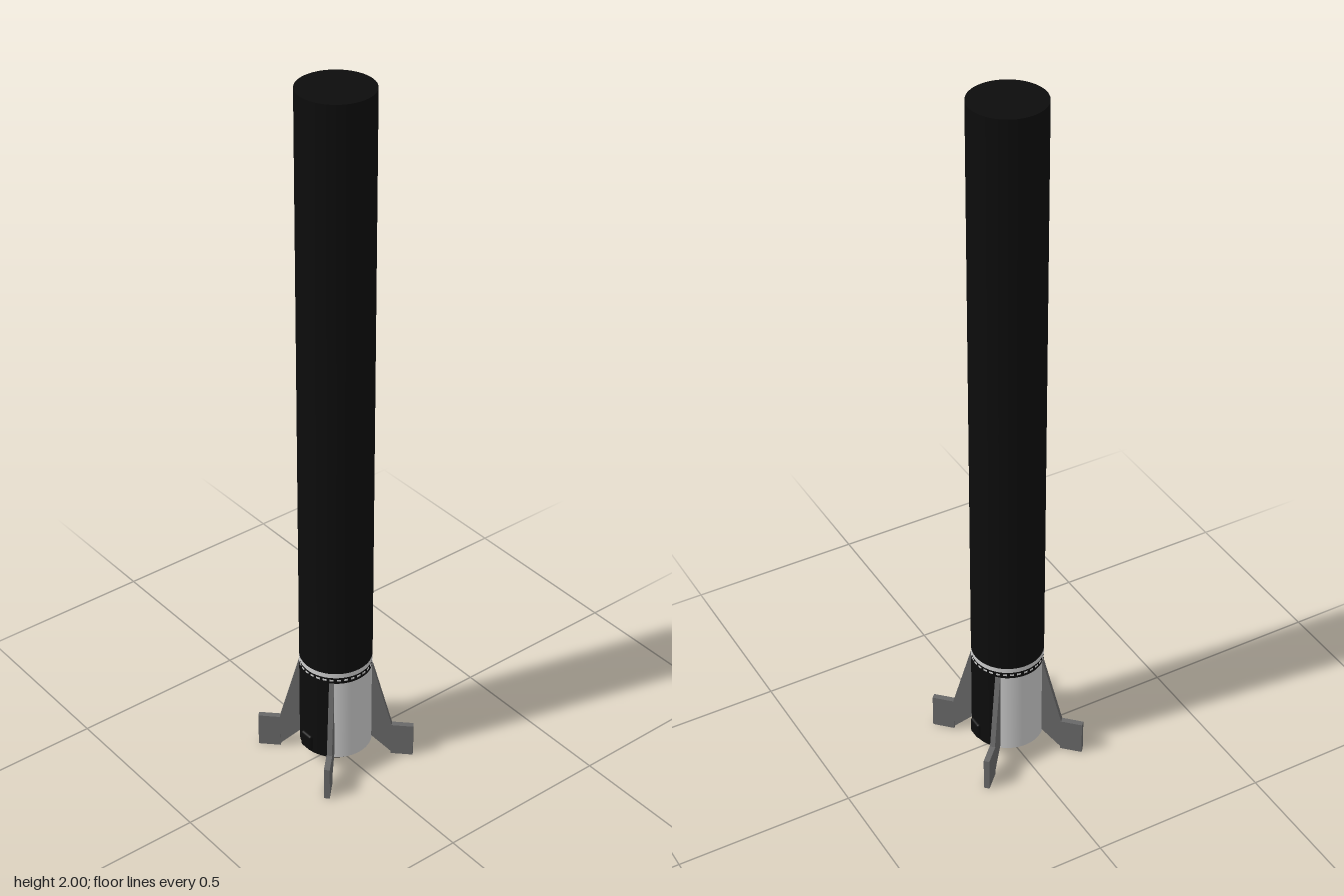
import * as THREE from 'three';
import { RoundedBoxGeometry } from 'three/addons/geometries/RoundedBoxGeometry.js';

const paint = (color) => new THREE.MeshStandardMaterial({ color });
const BLACK = paint(0x0c0c0c);
const WHITE = paint(0xf0f0f0);
const GREY = paint(0x686868);
const R = 0.1;

export function createModel() {
  const model = new THREE.Group();

  const add = (name, geometry, material, parent = model) => {
    const mesh = new THREE.Mesh(geometry, material);
    mesh.name = name;
    parent.add(mesh);
    return mesh;
  };

  // Closed cylinder between two heights
  const drum = (name, y0, y1, r, material, rBottom = r) => {
    const mesh = add(name, new THREE.CylinderGeometry(r, rBottom, y1 - y0, 64), material);
    mesh.position.y = (y0 + y1) / 2;
    return mesh;
  };

  // Main tube and the bands under it
  drum('bodyTube', 0.338, 2, R, BLACK);
  drum('whiteBand', 0.324, 0.338, R, WHITE);
  drum('darkBand', 0.305, 0.324, R - 0.001, BLACK);

  // Row of small light marks around the dark band
  const marks = new THREE.Group();
  marks.name = 'bandMarks';
  model.add(marks);
  for (let i = 0; i < 32; i++) {
    const a = (i / 32) * Math.PI * 2;
    const mark = add('bandMark', new THREE.BoxGeometry(0.011, 0.005, 0.002), WHITE, marks);
    mark.position.set(Math.sin(a) * (R - 0.001), 0.315, Math.cos(a) * (R - 0.001));
    mark.rotation.y = a;
  }

  // Tail skin in four quarters, dark at front and back, white at the sides
  for (let i = 0; i < 4; i++) {
    const quarter = new THREE.CylinderGeometry(R, R, 0.257, 16, 1, true,
      -Math.PI / 4 + (i * Math.PI) / 2, Math.PI / 2);
    add('tailPanel', quarter, i % 2 ? WHITE : BLACK).position.y = 0.1765;
  }
  drum('tailCore', 0.048, 0.305, R - 0.002, BLACK);

  // Recessed nozzle with an open mouth
  const nozzle = [[0.085, 0.05], [0.08, 0.03], [0.07, 0.03], [0.06, 0.045], [0, 0.045]]
    .map(([x, y]) => new THREE.Vector2(x, y)).reverse();
  add('nozzle', new THREE.LatheGeometry(nozzle, 48), BLACK);

  // Small rounded lugs on front and back
  for (const s of [1, -1]) {
    const lug = add('lug', new RoundedBoxGeometry(0.042, 0.05, 0.03, 3, 0.007), BLACK);
    lug.position.set(0, 0.078, s * 0.0925);
  }

  // Swept fins with a foot plate at the tip
  const finShape = new THREE.Shape([
    [0.09, 0.305], [0.101, 0.305], [0.156, 0.1], [0.156, 0.005], [0.098, 0.06], [0.09, 0.06],
  ].map(([x, y]) => new THREE.Vector2(x, y)).reverse());
  const finGeometry = new THREE.ExtrudeGeometry(finShape, { depth: 0.014, bevelEnabled: false });
  finGeometry.translate(0, 0, -0.007);
  for (let i = 0; i < 4; i++) {
    const fin = new THREE.Group();
    fin.name = 'fin';
    fin.rotation.y = Math.PI / 4 + (i * Math.PI) / 2;
    add('finBlade', finGeometry, GREY, fin);
    add('finFoot', new THREE.BoxGeometry(0.062, 0.1, 0.016), GREY, fin).position.set(0.185, 0.05, 0);
    model.add(fin);
  }

  return model;
}
